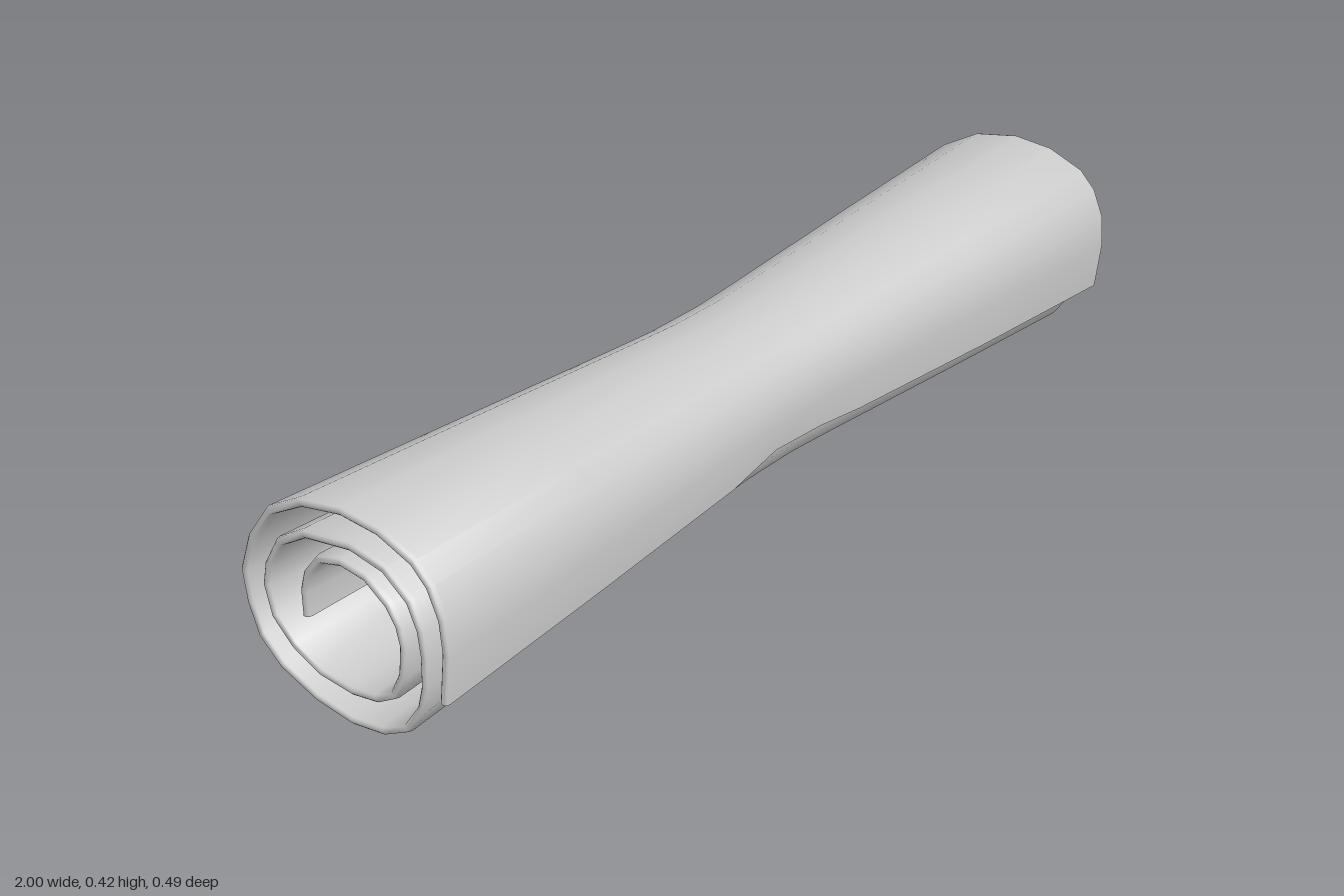
import * as THREE from 'three';
import { toCreasedNormals } from 'three/addons/utils/BufferGeometryUtils.js';

// Outer face of the rolled sheet at its ends, as (z, y), from the loose flap inwards
const SPIRAL = [
  [0.232, 0.137], [0.243, 0.235], [0.237, 0.3], [0.213, 0.355], [0.178, 0.39], [0.1, 0.42],
  [0.013, 0.427], [-0.083, 0.408], [-0.163, 0.363], [-0.215, 0.292], [-0.243, 0.215],
  [-0.235, 0.15], [-0.213, 0.09], [-0.163, 0.045], [-0.08, 0.013], [0.005, 0.002],
  [0.08, 0.013], [0.14, 0.045], [0.178, 0.1], [0.191, 0.15], [0.193, 0.21],
  [0.187, 0.26], [0.165, 0.31], [0.11, 0.352], [0.03, 0.367], [-0.08, 0.35],
  [-0.145, 0.31], [-0.18, 0.25], [-0.19, 0.205], [-0.175, 0.145], [-0.13, 0.1],
  [-0.065, 0.07], [0.01, 0.063], [0.07, 0.073], [0.115, 0.1], [0.14, 0.15],
  [0.147, 0.21], [0.138, 0.25], [0.115, 0.285], [0.065, 0.32], [0.005, 0.328],
  [-0.05, 0.313], [-0.085, 0.27], [-0.097, 0.23], [-0.097, 0.18],
].map(([z, y]) => new THREE.Vector2(z, y));

const HALF = 0.0085;      // half the sheet thickness
const CENTRE_Y = 0.215;   // axis of the roll

// Stations along the roll: x, size of the spiral, thickness factor, lift of the flap edge
const STATIONS = [
  [-1, 1, 0.4, 0], [-0.997, 1, 0.8, 0], [-0.99, 0.998, 1, 0],
  [-0.6, 0.9, 1, 0], [-0.2, 0.795, 1, 0.002], [-0.06, 0.762, 1, 0.02], [0.08, 0.762, 1, 0.012],
  [0.2, 0.79, 1, 0.004], [0.6, 0.9, 1, 0],
  [0.99, 0.998, 1, 0], [0.997, 1, 0.8, 0], [1, 1, 0.4, 0],
];

// Unit normals pointing to the inside of the roll
const INWARD = SPIRAL.map((p, i) => {
  const a = SPIRAL[Math.max(i - 1, 0)];
  const b = SPIRAL[Math.min(i + 1, SPIRAL.length - 1)];
  return new THREE.Vector2(a.y - b.y, b.x - a.x).normalize();
});

// Closed outline of the sheet at one station: outer face, then back along the inner face
function section([x, size, thick, lift]) {
  const face = (side) => SPIRAL.map((p, i) => {
    const q = p.clone().addScaledVector(INWARD[i], HALF * (1 + side * thick));
    const y = CENTRE_Y + (q.y - CENTRE_Y) * size + (i === 0 ? lift : 0);
    return [x, y, q.x * size];
  });
  return [...face(-1), ...face(1).reverse()];
}

function rolledSheetGeometry() {
  const n = SPIRAL.length;
  const loop = 2 * n;
  const positions = STATIONS.flatMap(section).flat();
  const index = [];
  const quad = (a, b, c, d) => index.push(a, b, c, a, c, d);

  // Faces between neighbouring stations
  for (let s = 0; s < STATIONS.length - 1; s++) {
    for (let j = 0; j < loop; j++) {
      const k = (j + 1) % loop;
      const r = s * loop;
      quad(r + j, r + loop + j, r + loop + k, r + k);
    }
  }
  // Rims at both ends
  const last = (STATIONS.length - 1) * loop;
  for (let j = 0; j < n - 1; j++) {
    const inner = loop - 1 - j;
    quad(j, j + 1, inner - 1, inner);
    quad(last + inner, last + inner - 1, last + j + 1, last + j);
  }

  const geometry = new THREE.BufferGeometry();
  geometry.setAttribute('position', new THREE.Float32BufferAttribute(positions, 3));
  geometry.setIndex(index);
  return toCreasedNormals(geometry, 0.9);
}

export function createModel() {
  const group = new THREE.Group();
  group.name = 'scroll';
  const sheet = new THREE.Mesh(
    rolledSheetGeometry(),
    new THREE.MeshStandardMaterial({ color: 0xcccccc }),
  );
  sheet.name = 'rolledSheet';
  group.add(sheet);
  return group;
}
